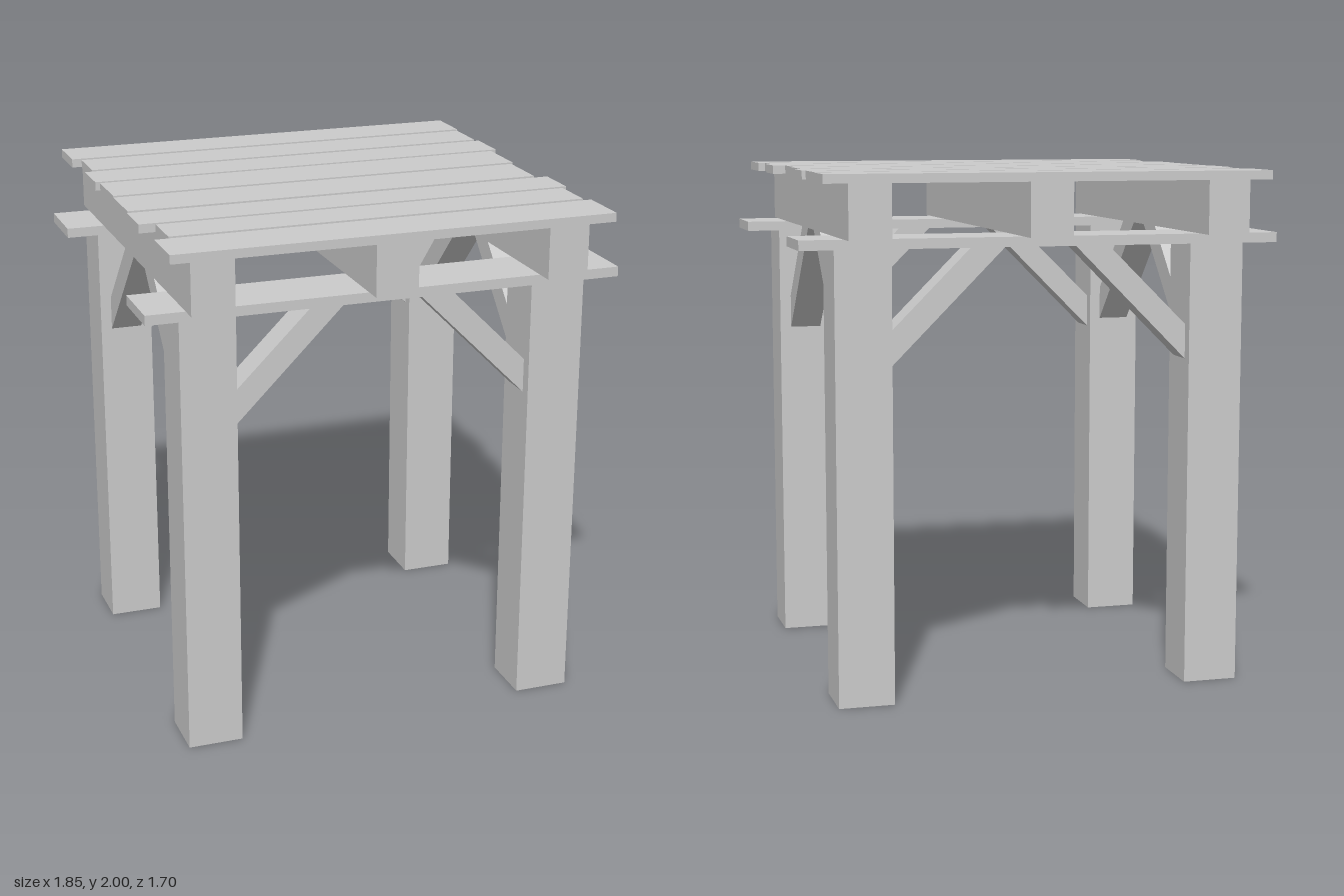
import * as THREE from 'three';

const material = new THREE.MeshStandardMaterial({ color: 0xcccccc, flatShading: true });

// Box given by its limits on each axis
function box(name, x0, x1, y0, y1, z0, z1) {
  const mesh = new THREE.Mesh(new THREE.BoxGeometry(x1 - x0, y1 - y0, z1 - z0), material);
  mesh.position.set((x0 + x1) / 2, (y0 + y1) / 2, (z0 + z1) / 2);
  mesh.name = name;
  return mesh;
}

// Diagonal brace: outline in a vertical plane, centred on its thickness
function brace(name, points) {
  const width = 0.125;
  const shape = new THREE.Shape(points.map(([u, v]) => new THREE.Vector2(u, v)));
  const geometry = new THREE.ExtrudeGeometry(shape, { depth: width, bevelEnabled: false });
  geometry.translate(0, 0, -width / 2);
  const mesh = new THREE.Mesh(geometry, material);
  mesh.name = name;
  return mesh;
}

export function createModel() {
  const model = new THREE.Group();
  model.name = 'timberShelter';

  const postX = [[-0.80, -0.587], [0.575, 0.79]];
  const postZ = [[-0.71, -0.495], [0.515, 0.73]];
  const mid = ([a, b]) => (a + b) / 2;

  // Posts
  for (const [x0, x1] of postX) {
    for (const [z0, z1] of postZ) model.add(box('post', x0, x1, 0, 1.722, z0, z1));
  }

  // Flat cross boards over the posts
  model.add(box('backCrossBoard', -0.928, 0.924, 1.722, 1.76, -0.737, -0.477));
  model.add(box('frontCrossBoard', -0.928, 0.924, 1.722, 1.76, 0.49, 0.75));

  // Braces under the cross boards
  for (const z of postZ.map(mid)) {
    const left = brace('crossBrace', [[0.575, 1.275], [0.575, 1.408], [0.26, 1.722], [0.127, 1.722]]);
    const right = brace('crossBrace', [[-0.587, 1.275], [-0.587, 1.408], [-0.27, 1.722], [-0.14, 1.722]]);
    for (const b of [left, right]) {
      b.position.z = z;
      model.add(b);
    }
  }

  // Braces under the outer beams; the outline runs along z after turning
  for (const x of postX.map(mid)) {
    const front = brace('sideBrace', [[-0.515, 1.312], [-0.515, 1.447], [-0.203, 1.76], [-0.068, 1.76]]);
    const back = brace('sideBrace', [[0.495, 1.312], [0.495, 1.447], [0.185, 1.76], [0.05, 1.76]]);
    for (const b of [front, back]) {
      b.rotation.y = Math.PI / 2;
      b.position.x = x;
      model.add(b);
    }
  }

  // Beams running front to back
  for (const [x0, x1] of [[-0.778, -0.615], [-0.085, 0.08], [0.598, 0.758]]) {
    model.add(box('beam', x0, x1, 1.76, 1.966, -0.828, 0.822));
  }

  // Roof slats: z limits, then x limits
  const slats = [
    [-0.855, -0.66, -0.857, 0.854],
    [-0.635, -0.45, -0.823, 0.843],
    [-0.427, -0.25, -0.857, 0.854],
    [-0.23, -0.015, -0.843, 0.824],
    [0.008, 0.225, -0.848, 0.808],
    [0.25, 0.42, -0.857, 0.854],
    [0.44, 0.615, -0.798, 0.83],
    [0.638, 0.847, -0.857, 0.854],
  ];
  for (const [z0, z1, x0, x1] of slats) model.add(box('roofSlat', x0, x1, 1.966, 2, z0, z1));

  return model;
}
